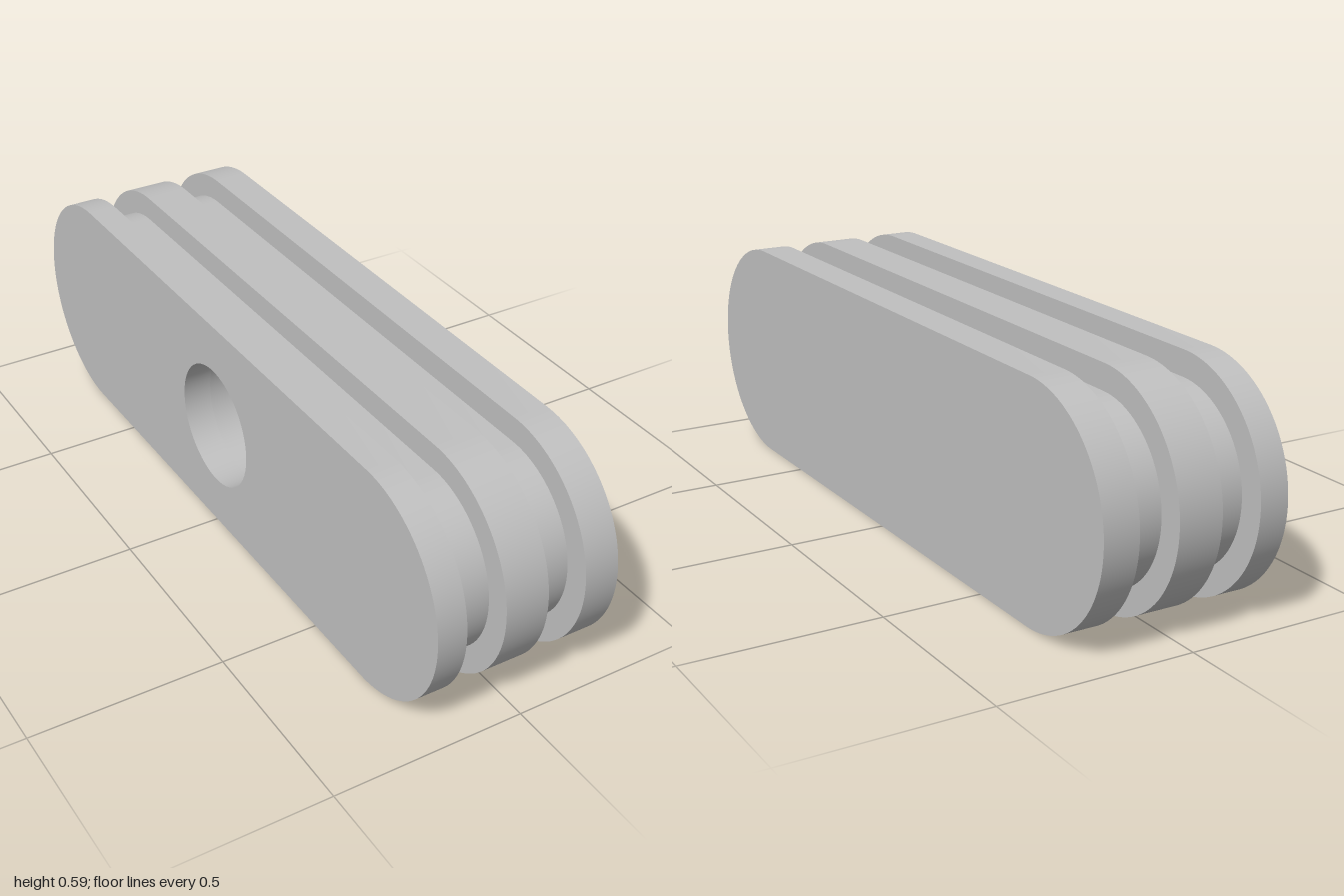
import * as THREE from 'three';
import { toCreasedNormals } from 'three/addons/utils/BufferGeometryUtils.js';

const CENTRE_Y = 0.295;
const HALF_STRAIGHT = 0.705; // distance from the middle to each rounded end's centre
const BORE_RADIUS = 0.165;

// Rounded-end slab filling x0..x1, optionally pierced by the round bore
function slab(name, x0, x1, radius, bored, material) {
  const shape = new THREE.Shape();
  shape.absarc(HALF_STRAIGHT, 0, radius, -Math.PI / 2, Math.PI / 2, false);
  shape.absarc(-HALF_STRAIGHT, 0, radius, Math.PI / 2, Math.PI * 1.5, false);
  shape.closePath();
  if (bored) {
    const hole = new THREE.Path();
    hole.absarc(0, 0, BORE_RADIUS, 0, Math.PI * 2, true);
    shape.holes.push(hole);
  }
  const geometry = new THREE.ExtrudeGeometry(shape, {
    depth: x1 - x0, bevelEnabled: false, curveSegments: 32,
  });
  geometry.rotateY(Math.PI / 2);
  geometry.translate(x0, CENTRE_Y, 0);
  const mesh = new THREE.Mesh(toCreasedNormals(geometry, Math.PI / 6), material);
  mesh.name = name;
  return mesh;
}

export function createModel() {
  const group = new THREE.Group();
  group.name = 'groovedBlock';
  const grey = new THREE.MeshStandardMaterial({ color: 0xc0c0c0 });
  grey.name = 'lightGrey';

  // Wide flanges separated by two narrower grooves; the last flange closes the bore
  const parts = [
    ['rightFlange', -0.244, -0.168, 0.295, true],
    ['rightGroove', -0.168, -0.064, 0.23, true],
    ['middleFlange', -0.064, 0.05, 0.295, true],
    ['leftGroove', 0.05, 0.153, 0.23, true],
    ['leftFlange', 0.153, 0.244, 0.295, false],
  ];
  for (const part of parts) group.add(slab(...part, grey));
  return group;
}
